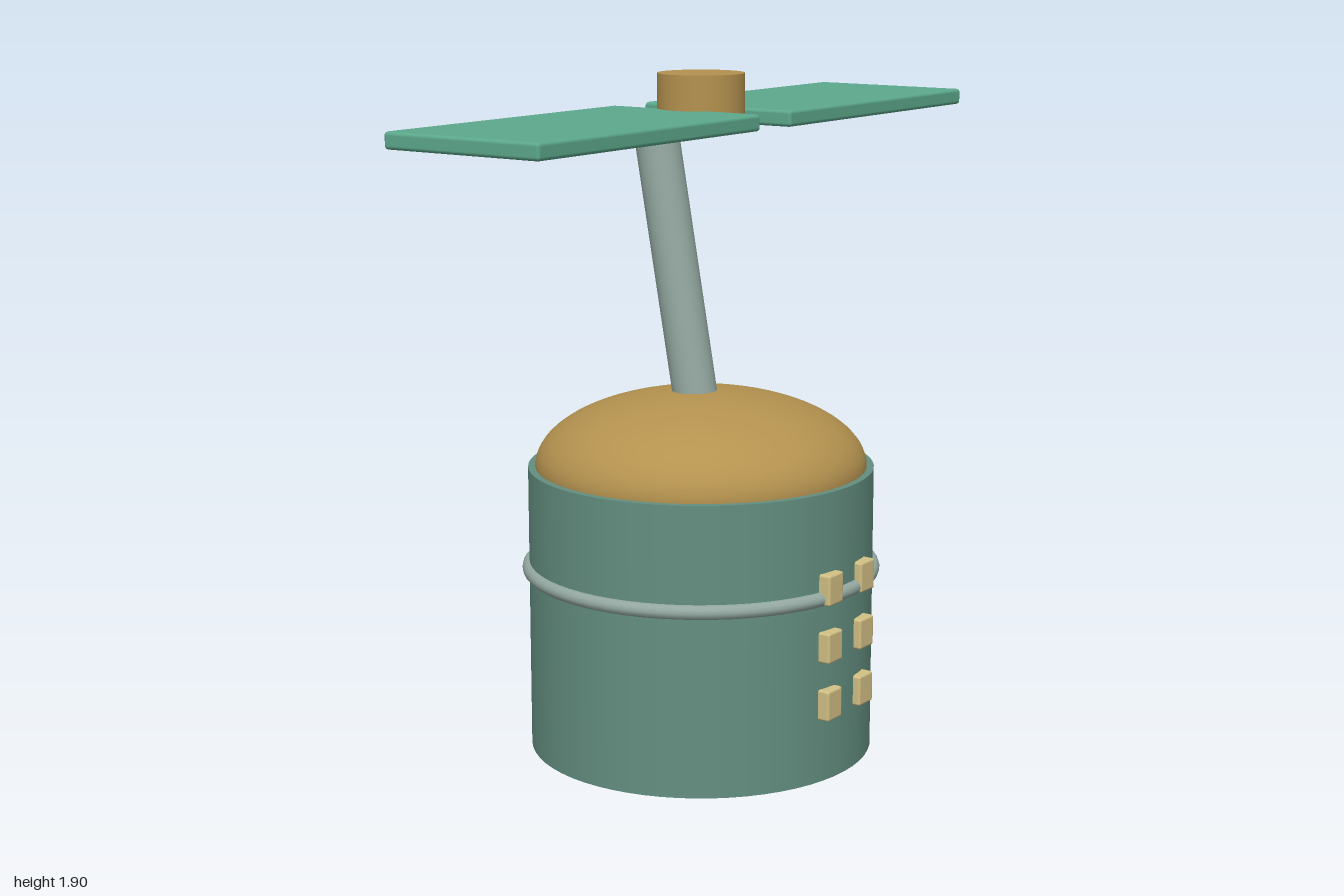
import * as THREE from 'three';
import { RoundedBoxGeometry } from 'three/addons/geometries/RoundedBoxGeometry.js';

function material(name, color) {
  const m = new THREE.MeshStandardMaterial({ color });
  m.name = name;
  return m;
}

export function createModel() {
  const model = new THREE.Group();
  model.name = 'rotorTower';

  const bodyGreen = material('bodyGreen', 0x648f80);
  const bladeGreen = material('bladeGreen', 0x5ca88c);
  const gold = material('gold', 0xb4924f);
  const steel = material('steel', 0x93a8a0);
  const cream = material('cream', 0xd2c084);

  function add(name, geometry, mat, x, y, z) {
    const mesh = new THREE.Mesh(geometry, mat);
    mesh.name = name;
    mesh.position.set(x, y, z);
    model.add(mesh);
    return mesh;
  }

  // Drum, its band and the shallow domed roof
  add('body', new THREE.CylinderGeometry(0.485, 0.485, 0.81, 64), bodyGreen, 0, 0.405, 0);
  const band = add('band', new THREE.TorusGeometry(0.485, 0.02, 12, 64), steel, 0, 0.52, 0);
  band.rotation.x = Math.PI / 2;
  const dome = new THREE.SphereGeometry(0.465, 64, 24, 0, Math.PI * 2, 0, Math.PI / 2);
  dome.scale(1, 0.21 / 0.465, 1);
  add('dome', dome, gold, 0, 0.81, 0);

  // Mast leaning backwards out of the dome
  const lean = 0.18;
  const length = 0.88;
  const mast = add('mast', new THREE.CylinderGeometry(0.0625, 0.0625, length, 32), steel,
    0, 1.775 - Math.cos(lean) * length / 2, -0.16 + Math.sin(lean) * length / 2);
  mast.rotation.x = -lean;

  // Hub and the two flat blades
  add('hub', new THREE.CylinderGeometry(0.12, 0.12, 0.16, 48), gold, 0, 1.82, 0);
  for (const side of [1, -1]) {
    add(side > 0 ? 'leftBlade' : 'rightBlade',
      new RoundedBoxGeometry(0.93, 0.045, 0.49, 3, 0.01), bladeGreen, side * 0.535, 1.782, 0);
  }

  // Two columns of small windows on the front
  for (const y of [0.222, 0.385, 0.547]) {
    for (const x of [-0.08, 0.08]) {
      add('window', new RoundedBoxGeometry(0.07, 0.086, 0.04, 2, 0.007), cream, x, y, 0.485);
    }
  }

  return model;
}
